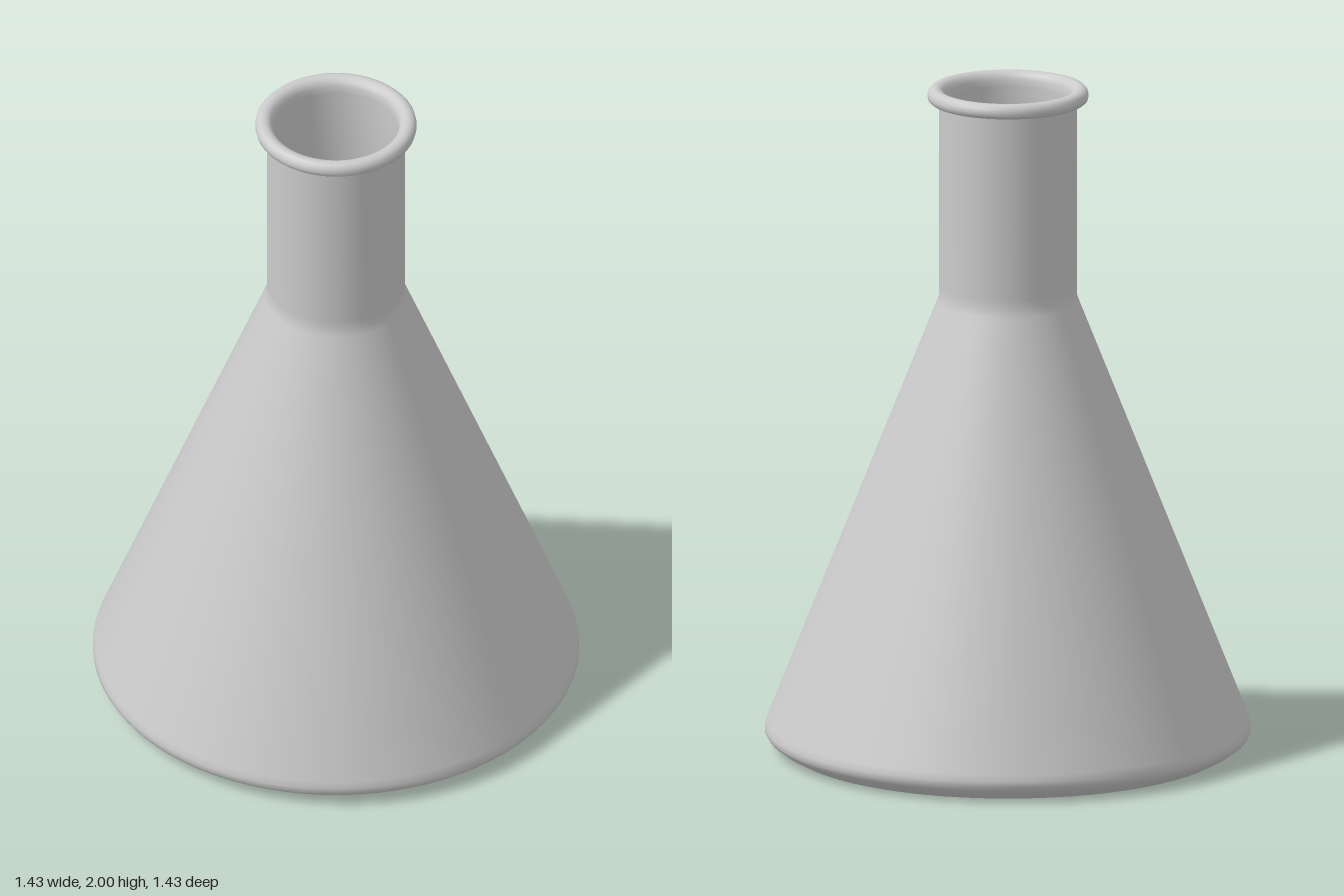
import * as THREE from 'three';
import { toCreasedNormals } from 'three/addons/utils/BufferGeometryUtils.js';

const SEGMENTS = 96;

export function createModel() {
  const group = new THREE.Group();
  group.name = 'conicalFlask';
  const material = new THREE.MeshStandardMaterial({ color: 0xcccccc });

  // Each part is a profile of [radius, height] turned about the y axis
  const turn = (name, profile, crease = 0.6) => {
    const points = profile.map(([r, y]) => new THREE.Vector2(r, y));
    const geometry = toCreasedNormals(new THREE.LatheGeometry(points, SEGMENTS), crease);
    const mesh = new THREE.Mesh(geometry, material);
    mesh.name = name;
    group.add(mesh);
  };

  // Flat underside
  turn('base', [[0, 0], [0.65, 0]]);

  // Rounded heel, cone and neck
  turn('outerWall', [
    [0.65, 0], [0.685, 0.019], [0.707, 0.036], [0.716, 0.05], [0.716, 0.065], [0.71, 0.085],
    [0.21, 1.35], [0.203, 1.372], [0.203, 1.4], [0.203, 1.96],
  ], 0.9);

  // Rolled lip
  turn('rim', [
    [0.203, 1.957], [0.228, 1.957], [0.235, 1.963], [0.238, 1.975], [0.235, 1.988],
    [0.227, 1.997], [0.215, 2], [0.203, 1.998], [0.192, 1.99], [0.186, 1.975], [0.185, 1.957],
  ], 0.9);

  // Inside of the neck, cone and floor
  turn('innerWall', [
    [0.185, 1.957], [0.185, 1.375], [0.69, 0.085], [0.695, 0.065], [0.685, 0.045], [0.645, 0.02],
  ], 0.9);
  turn('innerFloor', [[0.645, 0.02], [0, 0.02]]);

  return group;
}
